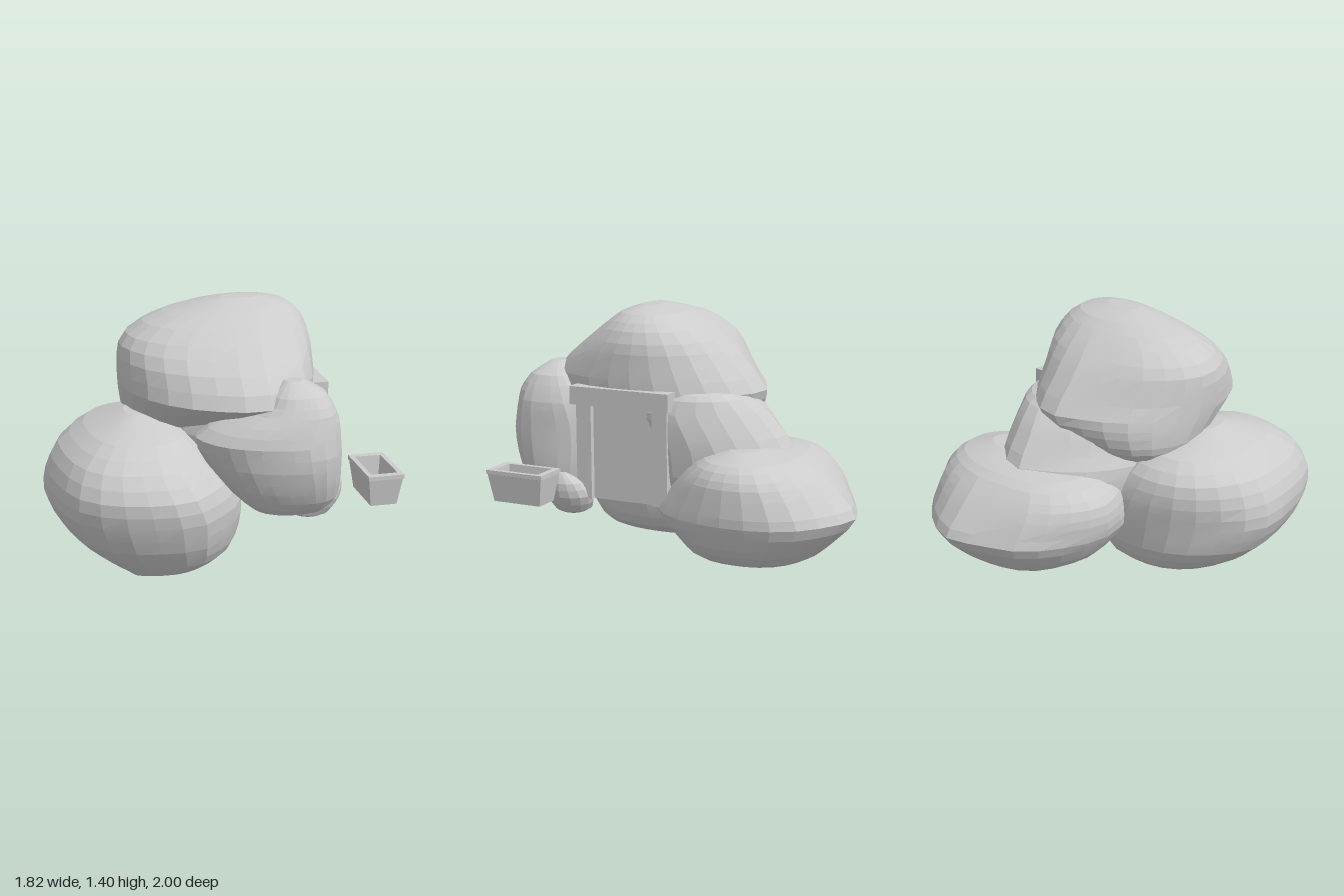
import * as THREE from 'three';
import { toCreasedNormals } from 'three/addons/utils/BufferGeometryUtils.js';

const material = new THREE.MeshStandardMaterial({ color: 0xcccccc });

// Skin a stack of rings (listed bottom to top, each running from +x towards +z) and cap both ends.
function loft(rings, crease) {
  const n = rings[0].length, pos = [], index = [];
  rings.forEach(r => r.forEach(p => pos.push(p.x, p.y, p.z)));
  for (let j = 0; j < rings.length - 1; j++) {
    for (let i = 0; i < n; i++) {
      const a = j * n + i, b = j * n + (i + 1) % n;
      index.push(a, a + n, b, b, a + n, b + n);
    }
  }
  [0, rings.length - 1].forEach(j => {
    const c = new THREE.Vector3();
    rings[j].forEach(p => c.addScaledVector(p, 1 / n));
    const k = pos.length / 3;
    pos.push(c.x, c.y, c.z);
    for (let i = 0; i < n; i++) {
      const a = j * n + i, b = j * n + (i + 1) % n;
      if (j === 0) index.push(k, a, b); else index.push(k, b, a);
    }
  });
  const g = new THREE.BufferGeometry();
  g.setAttribute('position', new THREE.Float32BufferAttribute(pos, 3));
  g.setIndex(index);
  return toCreasedNormals(g, crease);
}

// Boulder: plan outline [x, z], stretched at each level to [y, xMin, xMax, zMin, zMax]
// and rounded towards a full oval near the top and bottom.
function boulder(name, plan, levels, around = 26, up = 16) {
  const { lerp } = THREE.MathUtils;
  const curve = new THREE.CatmullRomCurve3(plan.map(([x, z]) => new THREE.Vector3(x, 0, z)), true);
  const outline = curve.getSpacedPoints(around).slice(0, around);
  const box = new THREE.Box3().setFromPoints(outline);
  const size = box.getSize(new THREE.Vector3());
  const span = (a, b) => new THREE.CatmullRomCurve3(
    levels.map(l => new THREE.Vector3(l[a], l[0], l[b])), false, 'catmullrom', 0.4);
  const xs = span(1, 2), zs = span(3, 4);
  const rings = [];
  for (let j = 0; j <= up; j++) {
    const a = xs.getPoint(j / up), b = zs.getPoint(j / up);
    const round = 0.9 * Math.abs(2 * j / up - 1);
    rings.push(outline.map(p => {
      const u = 2 * (p.x - box.min.x) / size.x - 1, v = 2 * (p.z - box.min.z) / size.z - 1;
      const oval = (Math.abs(u) ** 2.4 + Math.abs(v) ** 2.4) ** (-1 / 2.4);
      const k = lerp(1, oval, round);
      return new THREE.Vector3(lerp(a.x, a.z, (u * k + 1) / 2), a.y, lerp(b.x, b.z, (v * k + 1) / 2));
    }));
  }
  return part(name, loft(rings, 0.13));
}

function part(name, geometry) {
  const m = new THREE.Mesh(geometry, material);
  m.name = name;
  return m;
}

function block(name, x0, x1, y0, y1, z0, z1) {
  const m = part(name, new THREE.BoxGeometry(x1 - x0, y1 - y0, z1 - z0));
  m.position.set((x0 + x1) / 2, (y0 + y1) / 2, (z0 + z1) / 2);
  return m;
}

export function createModel() {
  const group = new THREE.Group();
  group.name = 'boulderHouse';

  // Boulder pile
  group.add(boulder('sideBoulder',
    [[0.14, 0.35], [0.06, 0.68], [-0.06, 0.83], [-0.2, 0.945], [-0.43, 0.95], [-0.65, 0.89], [-0.8, 0.77],
      [-0.89, 0.5], [-0.91, 0.22], [-0.72, -0.02], [-0.52, -0.16], [-0.27, -0.22], [-0.1, -0.2], [0.07, -0.02]],
    [[0.0, -0.5, -0.38, 0.46, 0.64], [0.025, -0.58, -0.06, 0.0, 0.72], [0.1, -0.7, 0.09, -0.14, 0.8],
      [0.22, -0.83, 0.14, -0.2, 0.88], [0.38, -0.91, 0.15, -0.22, 0.94], [0.52, -0.9, 0.07, -0.22, 0.95],
      [0.65, -0.83, -0.06, -0.18, 0.86], [0.75, -0.69, -0.16, -0.06, 0.7], [0.83, -0.48, -0.34, 0.22, 0.42]]));
  group.add(boulder('backBoulder',
    [[0.77, -0.42], [0.73, -0.2], [0.62, -0.02], [0.37, 0.13], [0.1, 0.17], [-0.15, 0.03], [-0.29, -0.22],
      [-0.33, -0.42], [-0.24, -0.64], [-0.09, -0.83], [0.1, -0.92], [0.32, -1], [0.64, -0.82], [0.74, -0.65]],
    [[0.08, 0.2, 0.5, -0.54, -0.33], [0.11, -0.05, 0.6, -0.74, -0.09], [0.2, -0.2, 0.7, -0.86, 0.02],
      [0.35, -0.31, 0.77, -1, 0.17], [0.46, -0.33, 0.77, -0.93, 0.08], [0.57, -0.3, 0.755, -0.82, -0.04],
      [0.65, -0.16, 0.69, -0.7, -0.16], [0.7, 0.22, 0.53, -0.5, -0.33]]));
  group.add(boulder('middleBoulder',
    [[0.5, 0.05], [0.48, 0.35], [0.2, 0.5], [-0.15, 0.48], [-0.28, 0.2], [-0.27, -0.15], [-0.15, -0.35],
      [0.05, -0.52], [0.2, -0.59], [0.38, -0.5], [0.5, -0.32], [0.54, -0.12]],
    [[0.3, -0.1, 0.3, -0.3, 0.3], [0.36, -0.18, 0.45, -0.45, 0.46], [0.5, -0.28, 0.53, -0.57, 0.55],
      [0.67, -0.3, 0.55, -0.59, 0.6], [0.8, -0.26, 0.55, -0.5, 0.62], [0.88, -0.2, 0.54, -0.43, 0.6],
      [0.96, -0.05, 0.5, -0.32, 0.3], [1.0, 0.1, 0.38, -0.16, 0.05]]));
  group.add(boulder('topBoulder',
    [[0.55, 0.2], [0.52, 0.5], [0.4, 0.74], [0.15, 0.88], [-0.05, 0.83], [-0.25, 0.71], [-0.42, 0.5],
      [-0.49, 0.25], [-0.45, 0.05], [-0.28, -0.18], [-0.07, -0.31], [0.13, -0.39], [0.34, -0.28], [0.49, -0.07]],
    [[0.65, -0.28, 0.08, -0.08, 0.24], [0.71, -0.4, 0.32, -0.22, 0.42], [0.78, -0.45, 0.42, -0.3, 0.56],
      [0.87, -0.47, 0.49, -0.36, 0.72], [0.96, -0.485, 0.55, -0.39, 0.87], [1.1, -0.49, 0.55, -0.28, 0.77],
      [1.21, -0.46, 0.545, -0.18, 0.63], [1.31, -0.31, 0.5, -0.05, 0.49], [1.375, -0.08, 0.41, 0.07, 0.39],
      [1.405, 0.06, 0.27, 0.2, 0.3]]));
  group.add(boulder('frontBoulder',
    [[0.58, 0.72], [0.555, 0.9], [0.43, 1], [0.15, 0.965], [-0.07, 0.84], [-0.17, 0.64], [0, 0.45],
      [0.28, 0.38], [0.52, 0.48]],
    [[0.34, 0.25, 0.43, 0.63, 0.78], [0.36, 0.14, 0.51, 0.55, 0.85], [0.43, 0.05, 0.575, 0.46, 0.92],
      [0.53, -0.04, 0.585, 0.42, 0.97], [0.65, -0.12, 0.58, 0.4, 1], [0.77, -0.17, 0.575, 0.42, 1],
      [0.86, -0.05, 0.57, 0.47, 0.98], [0.94, 0.13, 0.54, 0.53, 0.95], [1.02, 0.2, 0.49, 0.62, 0.89],
      [1.08, 0.28, 0.38, 0.72, 0.8]]));
  group.add(boulder('pebble',
    [[1, 0], [0.7, 0.7], [0, 1], [-0.7, 0.7], [-1, 0], [-0.7, -0.7], [0, -1], [0.7, -0.7]],
    [[0.25, 0.43, 0.51, 0.57, 0.63], [0.28, 0.38, 0.59, 0.5, 0.69], [0.37, 0.42, 0.65, 0.465, 0.72],
      [0.45, 0.51, 0.655, 0.5, 0.69], [0.5, 0.58, 0.63, 0.57, 0.63]], 14, 8));

  // Doorway set into the +x side
  const doorway = new THREE.Group();
  doorway.name = 'doorway';
  doorway.add(block('doorPanel', 0.42, 0.53, 0.36, 0.9, 0.0, 0.5));
  for (const z of [0.025, 0.485]) doorway.add(block('doorPost', 0.45, 0.56, 0.36, 0.89, z - 0.045, z + 0.045));
  doorway.add(block('lintel', 0.45, 0.585, 0.885, 0.985, -0.04, 0.555));
  group.add(doorway);

  // Hollow planter: outer wall, rim, then inner wall down to the floor
  const rect = ([y, hx, hz]) => [[1, -1], [1, 1], [-1, 1], [-1, -1]].map(([sx, sz]) =>
    new THREE.Vector3(0.81 + sx * hx, y, 0.718 + sz * hz));
  group.add(part('planter', loft([
    [0.38, 0.072, 0.142], [0.53, 0.093, 0.166], [0.532, 0.098, 0.172], [0.555, 0.098, 0.172],
    [0.555, 0.072, 0.135], [0.41, 0.062, 0.125]].map(rect), 0.2)));

  return group;
}
